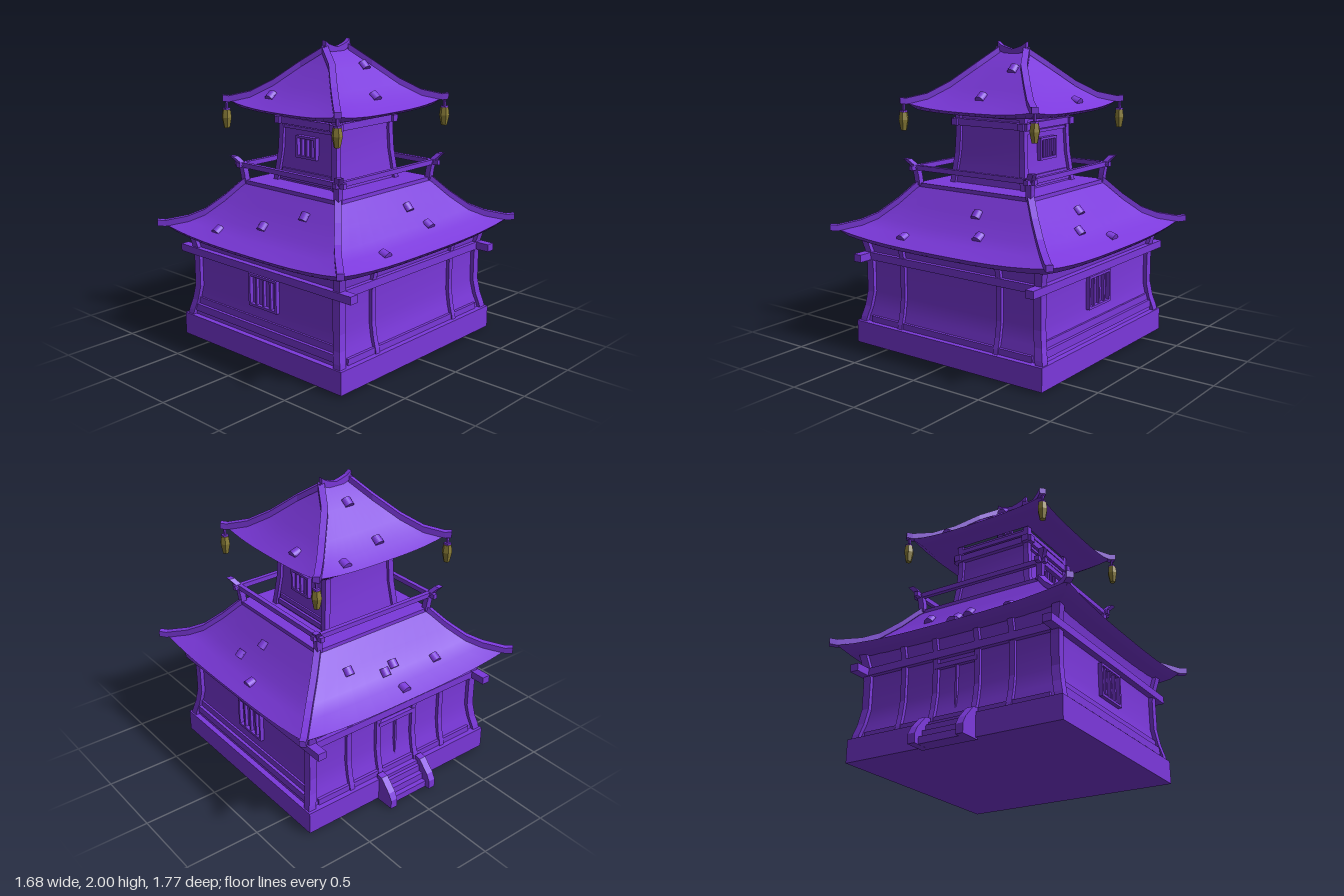
import * as THREE from 'three';

const V = (x, y, z) => new THREE.Vector3(x, y, z);
const purple = new THREE.MeshStandardMaterial({ color: 0x7b38db });
purple.name = 'purple timber';
const gold = new THREE.MeshStandardMaterial({ color: 0x8a7d38 });
gold.name = 'old gold';

function add(parent, name, geometry, material = purple) {
  const mesh = new THREE.Mesh(geometry, material);
  mesh.name = name;
  parent.add(mesh);
  return mesh;
}

function box(parent, name, w, h, d, x, y, z) {
  const mesh = add(parent, name, new THREE.BoxGeometry(w, h, d));
  mesh.position.set(x, y, z);
  return mesh;
}

// Four curved sides through rectangular rings [halfX, halfZ, y, sag at mid side]
function sides(parent, name, rings, n = 12) {
  for (let k = 0; k < 4; k++) {
    const pos = [], idx = [];
    rings.forEach(([hx, hz, y, sag = 0]) => {
      for (let i = 0; i <= n; i++) {
        const s = (i / n) * 2 - 1, yy = y - sag * (1 - Math.abs(s) ** 3);
        pos.push(...[[hx * s, yy, hz], [hx, yy, -hz * s], [-hx * s, yy, -hz], [-hx, yy, hz * s]][k]);
      }
    });
    for (let r = 0; r < rings.length - 1; r++) for (let i = 0; i < n; i++) {
      const a = r * (n + 1) + i, d = a + n + 1;
      idx.push(a, a + 1, d + 1, a, d + 1, d);
    }
    const g = new THREE.BufferGeometry();
    g.setAttribute('position', new THREE.Float32BufferAttribute(pos, 3));
    g.setIndex(idx);
    g.computeVertexNormals();
    add(parent, name, g);
  }
}

// Square timber along a path; A and B are the half-width vectors of its section
function bar(parent, name, path, A, B) {
  const dir = path[path.length - 1].clone().sub(path[0]);
  if (A.clone().cross(B).dot(dir) < 0) [A, B] = [B, A];
  const rows = path.map(p => [[-1, -1], [1, -1], [1, 1], [-1, 1]].map(
    ([a, b]) => p.clone().addScaledVector(A, a).addScaledVector(B, b)));
  const tri = [];
  const quad = (a, b, c, d) => tri.push(a, b, c, a, c, d);
  for (let r = 0; r < rows.length - 1; r++) for (let i = 0; i < 4; i++) {
    const j = (i + 1) % 4;
    quad(rows[r][i], rows[r][j], rows[r + 1][j], rows[r + 1][i]);
  }
  const f = rows[0], l = rows[rows.length - 1];
  quad(f[3], f[2], f[1], f[0]);
  quad(l[0], l[1], l[2], l[3]);
  const g = new THREE.BufferGeometry().setFromPoints(tri);
  g.computeVertexNormals();
  add(parent, name, g);
}

const corners = [[1, 1], [1, -1], [-1, -1], [-1, 1]];

// Curved roof with soffit, hip beams and loose arched tiles
function roof(parent, rings, soffit, tip, tiles, shiftX) {
  sides(parent, 'roof', rings);
  sides(parent, 'roofSoffit', soffit);
  const lift = 0.012;
  corners.forEach(([sx, sz]) => {
    const path = [[tip[0], tip[1], rings[0][2] + 0.005], ...rings]
      .map(([x, z, y]) => V(sx * x, y + lift, sz * z));
    bar(parent, 'hipBeam', path, V(-sx * 0.015, 0, sz * 0.015), V(0, 0.02, 0));
  });
  const arch = new THREE.Shape();
  arch.moveTo(0.032, -0.02);
  arch.lineTo(0.032, 0.012);
  arch.absarc(0, 0.0, 0.034, 0.36, Math.PI - 0.36, false);
  arch.lineTo(-0.032, -0.02);
  const tileGeo = new THREE.ExtrudeGeometry(arch, { depth: 0.055, bevelEnabled: false, curveSegments: 6 });
  tileGeo.translate(0, -0.006, -0.028);
  tiles.forEach(([wx, z]) => {
    const x = wx - shiftX, onX = Math.abs(x) > Math.abs(z), c = onX ? 0 : 1;
    const d = Math.abs(onX ? x : z);
    let i = rings.findIndex(r => r[c] <= d);
    i = i < 1 ? 1 : i;
    const p = rings[i - 1], q = rings[i], t = (p[c] - d) / (p[c] - q[c]);
    const y = p[2] - (p[3] || 0) + t * (q[2] - (q[3] || 0) - p[2] + (p[3] || 0));
    const tile = add(parent, 'looseTile', tileGeo);
    tile.position.set(x, y, z);
    tile.rotation.order = 'YXZ';
    tile.rotation.y = onX ? Math.sign(x) * Math.PI / 2 : z > 0 ? 0 : Math.PI;
    tile.rotation.x = Math.atan2(q[2] - p[2], p[c] - q[c]);
  });
}

// Barred window on the front or back (s = 1 or -1)
function barWindow(parent, w, h, y, z, s) {
  const t = 0.016;
  [-1, 1].forEach(k => {
    box(parent, 'windowFrame', t, h, 0.035, k * (w - t) / 2, y, s * z);
    box(parent, 'windowFrame', w, t, 0.035, 0, y + k * (h - t) / 2, s * z);
  });
  for (let i = -1; i <= 1; i++) box(parent, 'windowBar', t, h, 0.022, i * w / 4, y, s * z);
}

// Wall with curved corner posts; profile is [y, flare]
function walls(parent, hx, hz, profile, post) {
  sides(parent, 'wall', profile.map(([y, d]) => [hx + d, hz + d, y]), 1);
  corners.forEach(([sx, sz]) => bar(parent, 'cornerPost',
    profile.map(([y, d]) => V(sx * (hx + d), y, sz * (hz + d))), V(post, 0, 0), V(0, 0, post)));
}

export function createModel() {
  const model = new THREE.Group();
  model.name = 'tower';

  // Plinth and lower storey
  const lower = new THREE.Group();
  lower.name = 'lowerStorey';
  model.add(lower);
  box(lower, 'plinth', 1.44, 0.15, 1.5, 0, 0.085, 0);
  const flare = [[0.15, 0.04], [0.19, 0.033], [0.26, 0.015], [0.36, 0], [0.55, 0], [0.64, 0.008], [0.74, 0.03]];
  walls(lower, 0.635, 0.675, flare, 0.027);
  [-1, 1].forEach(s => {
    box(lower, 'longBeam', 1.54, 0.05, 0.06, -0.005, 0.605, s * 0.69);
    box(lower, 'crossBeam', 0.05, 0.05, 1.44, s * 0.645, 0.605, 0);
    box(lower, 'lowBoard', 1.28, 0.05, 0.04, 0, 0.21, s * 0.7);
    box(lower, 'lowBoard', 1.25, 0.045, 0.03, 0, 0.258, s * 0.685);
    barWindow(lower, 0.255, 0.215, 0.458, 0.685, s);
    [-0.39, 0.39].forEach(z => bar(lower, 'wallPost',
      flare.map(([y, d]) => V(s * (0.638 + d), y, z)), V(0.02, 0, 0), V(0, 0, 0.018)));
    box(lower, 'sideSill', 0.04, 0.04, 1.3, s * 0.665, 0.18, 0);
  });

  // Doorway and steps on the right side
  [-0.15, 0.15].forEach(z => bar(lower, 'doorPost',
    flare.map(([y, d]) => V(-0.638 - d, y, z)), V(0.02, 0, 0), V(0, 0, 0.018)));
  box(lower, 'doorLintel', 0.04, 0.03, 0.3, -0.642, 0.53, 0);
  box(lower, 'doorSeam', 0.03, 0.36, 0.014, -0.64, 0.35, 0);
  const stringer = new THREE.Shape([[-0.845, 0], [-0.845, 0.06], [-0.82, 0.105], [-0.745, 0.185],
    [-0.7, 0.19], [-0.7, 0]].map(p => new THREE.Vector2(...p)));
  const stringerGeo = new THREE.ExtrudeGeometry(stringer, { depth: 0.05, bevelEnabled: false });
  [-0.19, 0.14].forEach(z => { add(lower, 'stairStringer', stringerGeo).position.z = z; });
  for (let i = 0; i < 3; i++) {
    const w = 0.11 - i * 0.033;
    box(lower, 'stairStep', w, 0.045, 0.29, -0.7 - w / 2, 0.023 + i * 0.045, 0);
  }

  // Lower roof with flat deck
  roof(lower,
    [[0.79, 0.835, 0.785, 0.045], [0.68, 0.73, 0.815, 0.025], [0.6, 0.65, 0.86, 0.015],
      [0.51, 0.55, 0.955, 0.003], [0.43, 0.465, 1.055], [0.415, 0.45, 1.07]],
    [[0.6, 0.64, 0.72], [0.74, 0.785, 0.735, 0.035], [0.79, 0.835, 0.785, 0.045]],
    [0.825, 0.87],
    [[-0.71, 0.01], [-0.59, -0.05], [-0.57, 0.03], [-0.62, 0.35], [-0.53, -0.3], [0.61, -0.2], [0.51, -0.11],
      [0.7, 0.34], [-0.39, 0.72], [-0.06, 0.63], [0.22, 0.54], [-0.08, -0.73], [0.16, -0.64], [0.03, -0.55]], 0);
  box(lower, 'deck', 0.85, 0.03, 0.92, 0, 1.07, 0);

  // Balcony railing
  const railing = new THREE.Group();
  railing.name = 'railing';
  model.add(railing);
  [-1, 1].forEach(s => {
    box(railing, 'rail', 0.97, 0.032, 0.03, 0, 1.187, s * 0.46);
    box(railing, 'rail', 0.03, 0.032, 1.0, s * 0.43, 1.187, 0);
  });
  corners.forEach(([sx, sz]) => bar(railing, 'railPost',
    [[0, 1.07], [0.005, 1.13], [0.012, 1.18], [0.028, 1.21], [0.055, 1.245]]
      .map(([d, y]) => V(sx * (0.415 + d), y, sz * (0.445 + d))), V(0.02, 0, 0), V(0, 0, 0.02)));

  // Upper storey
  const upper = new THREE.Group();
  upper.name = 'upperStorey';
  upper.position.x = -0.015;
  model.add(upper);
  walls(upper, 0.235, 0.255, [[1.08, 0.03], [1.16, 0.02], [1.28, 0.006], [1.42, 0], [1.58, 0.004]], 0.02);
  [-1, 1].forEach(s => {
    box(upper, 'upperBeam', 0.57, 0.045, 0.045, 0, 1.485, s * 0.265);
    box(upper, 'upperBeam', 0.045, 0.045, 0.61, s * 0.245, 1.485, 0);
    box(upper, 'upperBoard', 0.42, 0.02, 0.03, 0, 1.445, s * 0.258);
    box(upper, 'upperBoard', 0.46, 0.035, 0.03, 0, 1.115, s * 0.28);
    box(upper, 'upperBoard', 0.44, 0.03, 0.03, 0, 1.155, s * 0.27);
    box(upper, 'eaveBeam', 0.5, 0.03, 0.03, 0, 1.54, s * 0.262);
    box(upper, 'eaveBeam', 0.03, 0.03, 0.54, s * 0.242, 1.54, 0);
    barWindow(upper, 0.18, 0.145, 1.328, 0.272, s);
  });

  // Upper roof
  roof(upper,
    [[0.48, 0.505, 1.61, 0.035], [0.38, 0.41, 1.64, 0.015], [0.27, 0.31, 1.715, 0.005],
      [0.14, 0.19, 1.835], [0, 0.11, 1.935]],
    [[0.23, 0.25, 1.6], [0.43, 0.455, 1.565, 0.015], [0.48, 0.505, 1.61, 0.035]],
    [0.508, 0.535],
    [[-0.43, -0.25], [-0.36, 0.06], [-0.14, 0], [0.13, -0.11], [0.32, 0], [-0.23, 0.38], [-0.15, -0.41]], -0.015);
  bar(upper, 'ridgeBeam', [[-0.115, 1.978], [-0.085, 1.955], [-0.04, 1.94], [0, 1.93], [0.04, 1.94],
    [0.085, 1.955], [0.115, 1.978]].map(([z, y]) => V(0, y, z)), V(0.016, 0, 0), V(0, 0.022, 0));

  // Corner lanterns
  const lanternGeo = new THREE.LatheGeometry([[0, 1.432], [0.02, 1.432], [0.034, 1.5], [0.027, 1.55], [0, 1.55]]
    .map(p => new THREE.Vector2(...p)), 6).toNonIndexed();
  lanternGeo.computeVertexNormals();
  corners.forEach(([sx, sz]) => {
    add(upper, 'lantern', lanternGeo, gold).position.set(sx * 0.49, 0, sz * 0.52);
    box(upper, 'lanternHook', 0.014, 0.06, 0.014, sx * 0.49, 1.575, sz * 0.52);
    box(upper, 'lanternCap', 0.036, 0.012, 0.036, sx * 0.49, 1.556, sz * 0.52);
  });
  return model;
}
